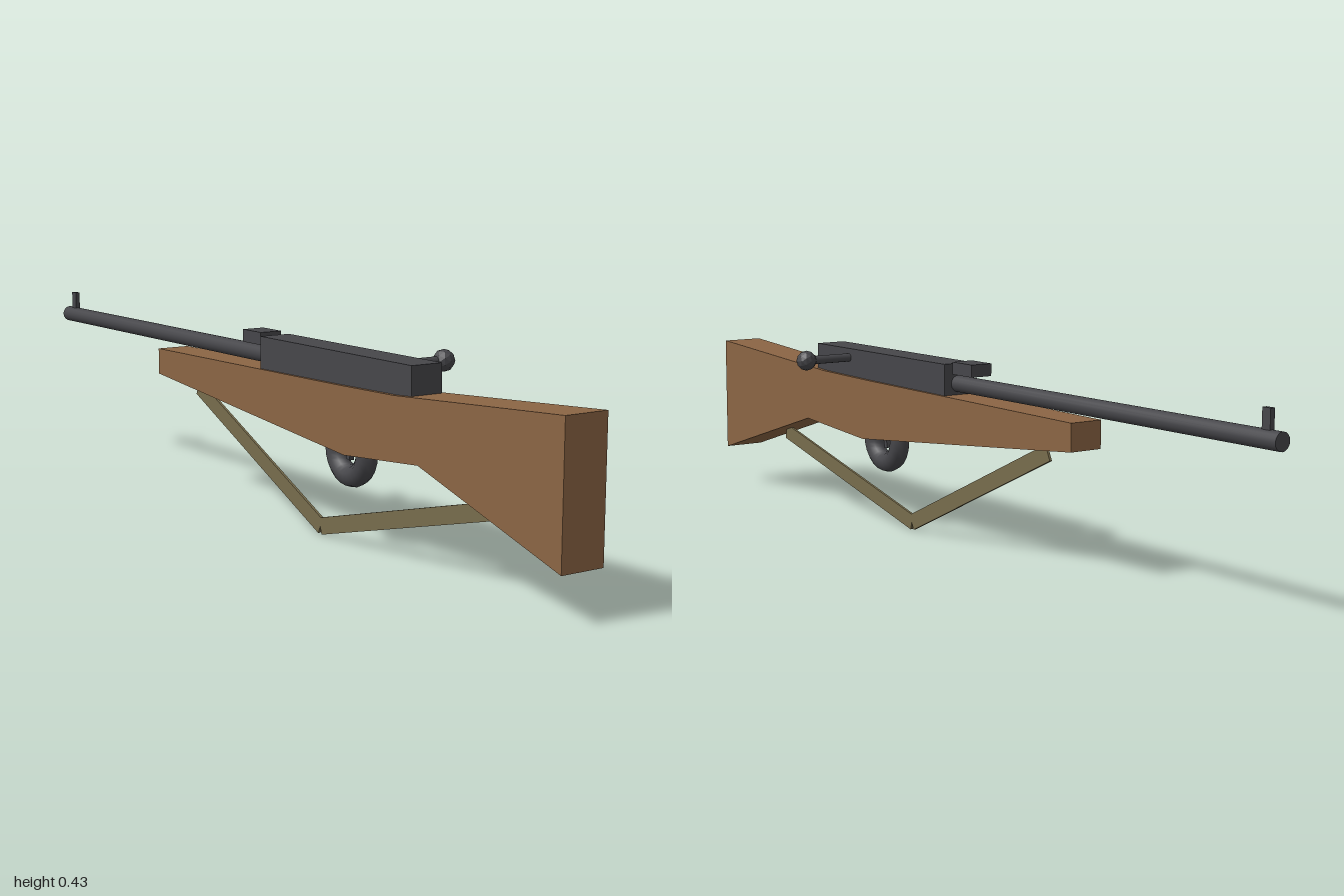
import * as THREE from 'three';

const CX = -0.066; // centre plane of the rifle

export function createModel() {
  const group = new THREE.Group();
  const wood = new THREE.MeshStandardMaterial({ color: 0x8b6544, flatShading: true });
  const metal = new THREE.MeshStandardMaterial({ color: 0x46464a });
  const steel = new THREE.MeshStandardMaterial({ color: 0x46464a, flatShading: true });
  const webbing = new THREE.MeshStandardMaterial({ color: 0x776c4c });

  const add = (name, geometry, material, x, y, z) => {
    const mesh = new THREE.Mesh(geometry, material);
    mesh.name = name;
    mesh.position.set(x, y, z);
    group.add(mesh);
    return mesh;
  };
  // box given by its z and y ranges, centred on the rifle's plane
  const block = (name, width, z0, z1, y0, y1) =>
    add(name, new THREE.BoxGeometry(width, y1 - y0, z1 - z0), metal, CX, (y0 + y1) / 2, (z0 + z1) / 2);

  // stock: side profile (z, y), extruded across and narrowed toward the muzzle
  const profile = [[1, 0.386], [1, 0.098], [0.58, 0.226], [0.33, 0.206],
    [-0.45, 0.28], [-0.45, 0.341], [0.3, 0.35], [0.5, 0.354]];
  const shape = new THREE.Shape(profile.map(([z, y]) => new THREE.Vector2(-z, y)));
  const stock = new THREE.ExtrudeGeometry(shape, { depth: 1, bevelEnabled: false });
  stock.translate(0, 0, -0.5).rotateY(Math.PI / 2);
  const p = stock.attributes.position;
  for (let i = 0; i < p.count; i++) {
    const t = (p.getZ(i) + 0.45) / 1.45;
    p.setX(i, p.getX(i) * THREE.MathUtils.lerp(0.08, 0.102, t));
  }
  stock.computeVertexNormals();
  add('stock', stock, wood, CX, 0, 0);

  // receiver, barrel and sights
  block('receiver', 0.076, 0, 0.545, 0.345, 0.418);
  const barrel = new THREE.CylinderGeometry(0.019, 0.019, 1.02, 16).rotateX(Math.PI / 2);
  add('barrel', barrel, metal, CX, 0.372, -0.49);
  block('rearSight', 0.054, -0.088, -0.015, 0.396, 0.424);
  block('frontSight', 0.011, -0.973, -0.952, 0.385, 0.431);

  // bolt handle, out to the left
  const handle = new THREE.CylinderGeometry(0.01, 0.01, 0.13, 12).rotateZ(Math.PI / 2);
  add('boltHandle', handle, metal, 0.025, 0.396, 0.4);
  add('boltKnob', new THREE.IcosahedronGeometry(0.024, 1), steel, 0.092, 0.396, 0.4);

  // trigger guard ring and trigger blade
  const guard = new THREE.TorusGeometry(0.055, 0.024, 10, 24).rotateY(Math.PI / 2);
  add('triggerGuard', guard, metal, CX, 0.206, 0.293);
  block('trigger', 0.012, 0.288, 0.3, 0.185, 0.24).rotation.x = 0.25;

  // sling: two flat straps meeting at the lowest point
  const strap = (name, [z0, y0], [z1, y1]) => {
    const length = Math.hypot(z1 - z0, y1 - y0);
    const mesh = add(name, new THREE.BoxGeometry(0.006, 0.037, length), webbing,
      CX, (y0 + y1) / 2, (z0 + z1) / 2);
    mesh.rotation.x = -Math.atan2(y1 - y0, z1 - z0);
  };
  strap('rearSling', [0.183, 0.021], [0.765, 0.165]);
  strap('frontSling', [-0.328, 0.259], [0.183, 0.021]);

  return group;
}
